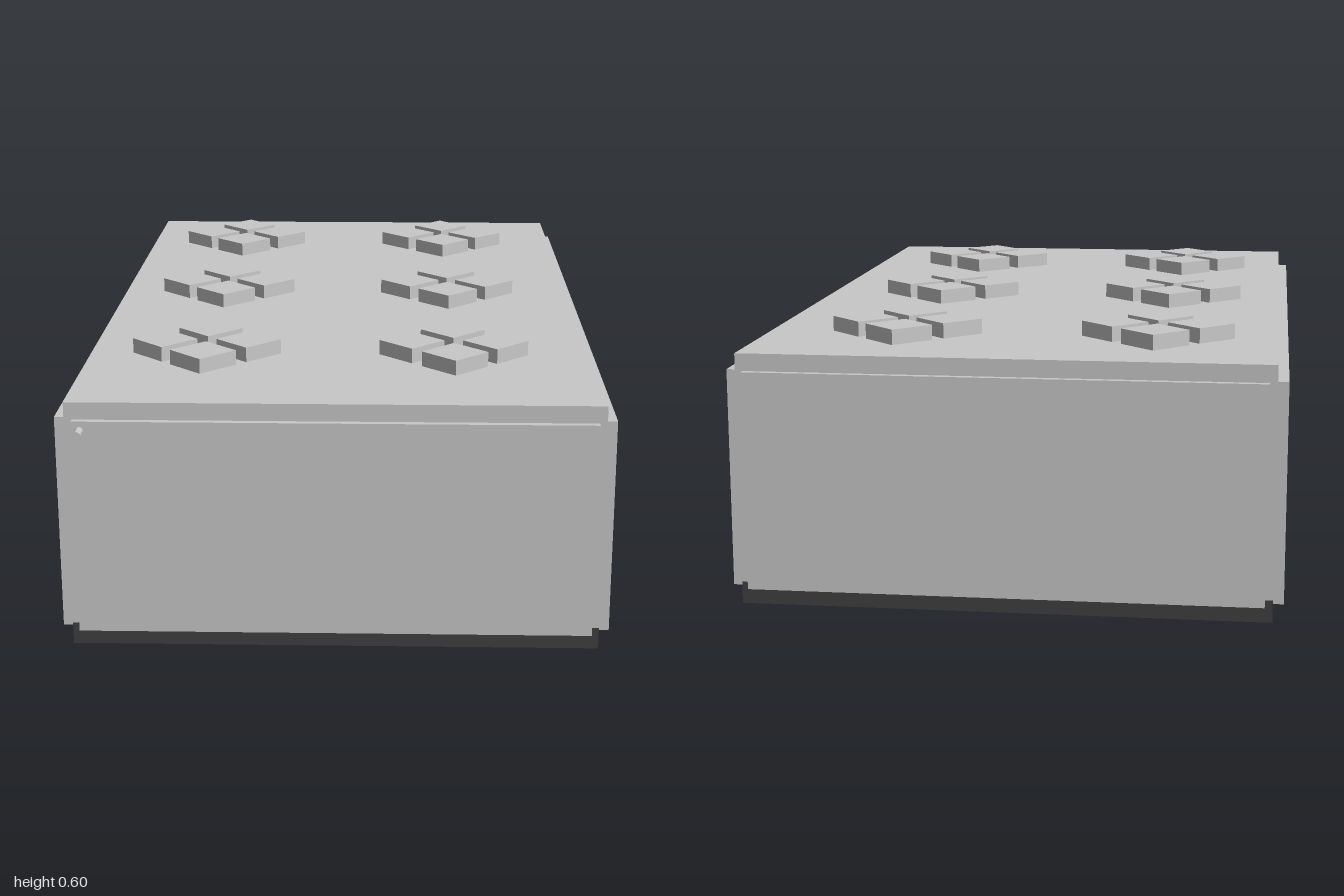
import * as THREE from 'three';

const shell = new THREE.MeshStandardMaterial({ color: 0xc8c8c8 });
shell.name = 'lightGreyShell';
const dark = new THREE.MeshStandardMaterial({ color: 0x404040 });
dark.name = 'darkGreyBase';

// Box given by its minimum and maximum corners
function box(name, material, [x0, y0, z0], [x1, y1, z1]) {
  const mesh = new THREE.Mesh(new THREE.BoxGeometry(x1 - x0, y1 - y0, z1 - z0), material);
  mesh.position.set((x0 + x1) / 2, (y0 + y1) / 2, (z0 + z1) / 2);
  mesh.name = name;
  return mesh;
}

export function createModel() {
  const model = new THREE.Group();
  model.name = 'cabinet';

  // The body sits slightly behind centre because the handle sticks out in front
  const body = new THREE.Group();
  body.name = 'body';
  body.position.z = -0.018;
  model.add(body);

  const W = 0.588, D = 0.967;          // half width and depth of the frame
  const outerX = 0.612, outerZ = 0.982; // outer faces of the panels
  const endX = 0.571, endZ = 0.95;      // panel half lengths
  const low = 0.037, high = 0.528;      // panel bottom and top

  // Base, inner core and lid
  body.add(
    box('base', dark, [-W, 0, -D], [W, 0.05, D]),
    box('core', shell, [-W, 0.05, -D], [W, 0.52, D]),
    box('lid', shell, [-W, 0.52, -D], [W, 0.567, D]),
  );

  // Plain panels
  body.add(
    box('frontPanel', shell, [-endX, low, D], [endX, high, outerZ]),
    box('backPanel', shell, [-endX, low, -outerZ], [endX, high, -D]),
    box('leftPanel', shell, [W, low, -endZ], [outerX, high, endZ]),
  );

  // Right panel with three rectangular openings, drawn along z
  const rect = (path, x0, y0, x1, y1) =>
    path.moveTo(x0, y0).lineTo(x1, y0).lineTo(x1, y1).lineTo(x0, y1).closePath();
  const outline = new THREE.Shape();
  rect(outline, -endZ, low, endZ, high);
  for (const c of [-0.583, 0, 0.583]) {
    const hole = new THREE.Path();
    rect(hole, c - 0.22, 0.15, c + 0.22, 0.415);
    outline.holes.push(hole);
  }
  const windowPanel = new THREE.Mesh(
    new THREE.ExtrudeGeometry(outline, { depth: outerX - W, bevelEnabled: false }), shell);
  windowPanel.name = 'windowPanel';
  windowPanel.rotation.y = -Math.PI / 2;
  windowPanel.position.x = -W;
  body.add(windowPanel);

  // Six clusters of four diamond-shaped vent blocks on the lid
  const block = new THREE.BoxGeometry(0.108, 0.035, 0.108).rotateY(Math.PI / 4);
  for (const x of [-0.314, 0.268]) {
    for (const z of [-0.67, -0.06, 0.55]) {
      const cluster = new THREE.Group();
      cluster.name = 'ventCluster';
      cluster.position.set(x, 0.5845, z);
      for (let i = 0; i < 4; i++) {
        const vent = new THREE.Mesh(block, shell);
        const a = (i * Math.PI) / 2;
        vent.name = 'ventBlock';
        vent.position.set(0.0985 * Math.cos(a), 0, 0.0985 * Math.sin(a));
        cluster.add(vent);
      }
      model.add(cluster);
    }
  }

  // Small half-round handle on the front
  const profile = new THREE.Shape();
  profile.moveTo(-0.009, 0).lineTo(0.009, 0).absarc(0, 0.002, 0.009, 0, Math.PI, false).closePath();
  const handle = new THREE.Mesh(
    new THREE.ExtrudeGeometry(profile, { depth: 0.037, bevelEnabled: false, curveSegments: 6 }), shell);
  handle.name = 'handle';
  handle.position.set(-0.553, 0.505, 0.963);
  model.add(handle);

  return model;
}
